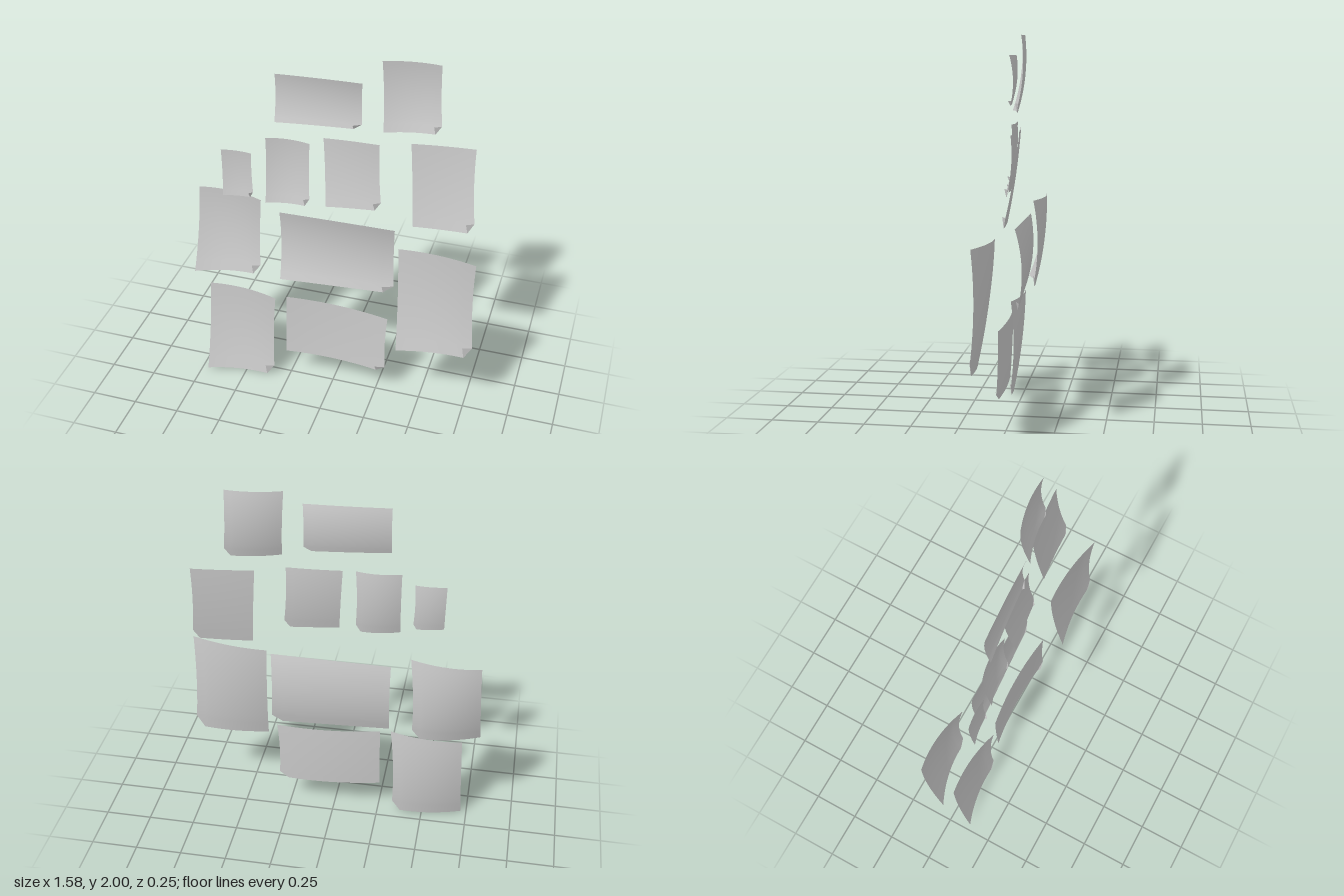
import * as THREE from 'three';

const N = 16;

// Point on a curved sheet: s runs -1 to 1 from left to right, t from top to bottom.
// outline: centre x, centre y, width, height, lean of the foot, rise to the right
// bend: depth at the centre, slope across, slope down, bow across, bow down, twist
function sheetPoint([x, y, w, h, lean, rise = 0], [z, across, down, bowX, bowY, twist], s, t) {
  const pinch = 0.025 * h * (1 - t * t) * (1 + s) / 2; // right edge draws in at mid height
  return [
    x + s * w / 2 + lean * t - pinch,
    y - t * h / 2 + rise * s,
    z + across * s + down * t + bowX * s * s + bowY * t * t + twist * s * t,
  ];
}

function surface(name, points, index, material) {
  const g = new THREE.BufferGeometry();
  g.setAttribute('position', new THREE.Float32BufferAttribute(points.flat(), 3));
  g.setIndex(index);
  g.computeVertexNormals();
  const mesh = new THREE.Mesh(g, material);
  mesh.name = name;
  return mesh;
}

function makeSheet(name, outline, bend, material) {
  const wide = outline[2] > outline[3];
  const foldS = 1 - 2 * (wide ? 0.095 : 0.125);
  const foldT = 1 - 2 * (wide ? 0.1 : 0.12);
  const at = (s, t) => sheetPoint(outline, bend, s, t);
  // the last row and column are as wide as the folded corner
  const station = (i, fold) => (i === N ? 1 : -1 + (i / (N - 1)) * (1 + fold));

  const points = [], index = [];
  for (let j = 0; j <= N; j++)
    for (let i = 0; i <= N; i++) points.push(at(station(i, foldS), station(j, foldT)));
  for (let j = 0; j < N; j++)
    for (let i = 0; i < N; i++) {
      const a = j * (N + 1) + i, b = a + 1, d = a + N + 1, e = d + 1;
      index.push(a, d, b);
      if (i < N - 1 || j < N - 1) index.push(b, d, e); // leave the corner off
    }

  // corner folded over to the front
  const tip = at(foldS, foldT);
  tip[2] += 0.02;
  const flap = [at(foldS, 1), at(1, foldT), tip];

  const group = new THREE.Group();
  group.name = name;
  group.add(
    surface('paper', points, index, material),
    surface('foldedCorner', flap, [0, 1, 2], material),
  );
  return group;
}

export function createModel() {
  const material = new THREE.MeshStandardMaterial({ color: 0xcccccc, side: THREE.DoubleSide });
  const model = new THREE.Group();
  model.name = 'paperSheets';
  const add = (name, outline, bend) => model.add(makeSheet(name, outline, bend, material));

  // top row
  add('topWideSheet', [-.072, 1.779, .433, .253, 0], [-.006, -.019, .005, .004, .016, -.007]);
  add('topTallSheet', [.374, 1.819, .282, .362, .012], [-.115, -.022, .016, .017, .019, -.005]);

  // second row
  add('smallestSheet', [-.486, 1.337, .16, .26, .003], [.066, -.007, .007, .008, .008, -.004]);
  add('smallTallSheet', [-.228, 1.365, .231, .361, .002], [.012, -.008, .016, .017, .014, -.005]);
  add('smallMiddleSheet', [.1, 1.383, .285, .366, .013], [-.019, -.014, .022, .004, .011, -.007]);
  add('upperLeftSheet', [.553, 1.341, .318, .45, .019], [-.092, -.015, .032, .005, .008, .004]);

  // third row
  add('middleRightSheet', [-.606, .858, .362, .497, -.009], [-.095, -.009, .027, .027, .024, -.025]);
  add('largeWideSheet', [.003, .844, .63, .418, .002, .004], [-.079, -.011, .005, .001, .028, -.011]);
  add('largeTallSheet', [.579, .72, .412, .602, .013, .007], [.048, .005, .024, .02, .017, -.019]);

  // bottom row
  add('bottomTallSheet', [-.515, .277, .39, .554, -.008], [.024, -.004, .025, .024, .017, -.02]);
  add('bottomWideSheet', [.028, .364, .57, .371, -.001, -.013], [.013, -.003, .007, .023, .003, -.001]);
  return model;
}
